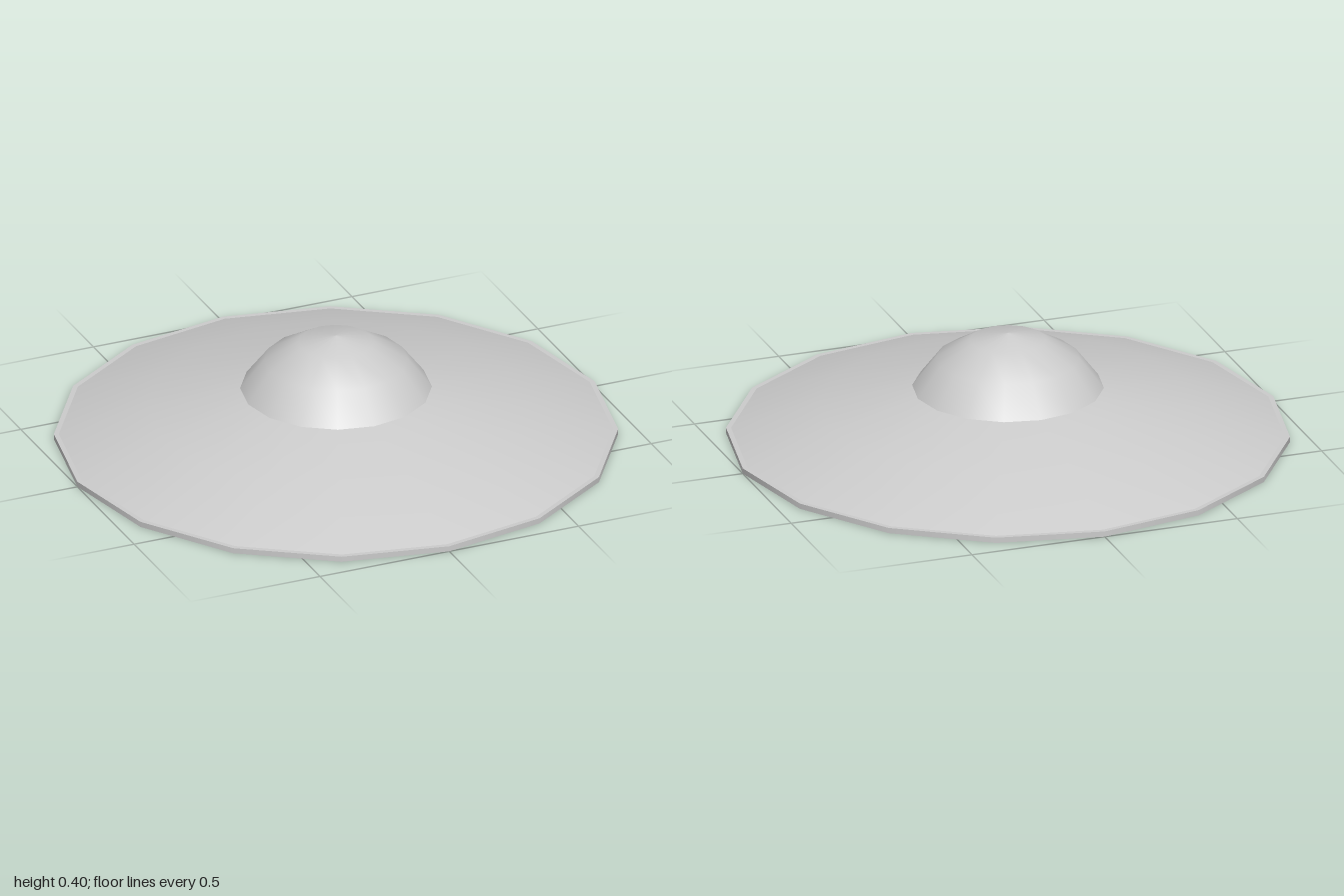
import * as THREE from 'three';

const SIDES = 16;

export function createModel() {
  const group = new THREE.Group();
  group.name = 'roundHat';
  const material = new THREE.MeshStandardMaterial({ color: 0xcccccc, side: THREE.DoubleSide });

  // Each part is a sixteen-sided lathe; profile points run bottom to top on outer faces
  function addLathe(name, profile) {
    const points = profile.map(([r, y]) => new THREE.Vector2(r, y));
    const mesh = new THREE.Mesh(new THREE.LatheGeometry(points, SIDES), material);
    mesh.name = name;
    group.add(mesh);
  }

  // Domed top, hollow underneath
  addLathe('crown', [[0.34, 0.195], [0.255, 0.305], [0.135, 0.375], [0, 0.4]]);

  // Sloping brim, with a thin shell below it
  addLathe('brimTop', [[0.982, 0.02], [0.675, 0.125], [0.34, 0.195]]);
  addLathe('brimUnderside', [[0.34, 0.195], [0.67, 0.112], [1, 0]]);

  // Narrow lip and outer wall around the edge
  addLathe('rimLip', [[1, 0.02], [0.982, 0.02]]);
  addLathe('rimWall', [[1, 0], [1, 0.02]]);

  return group;
}
